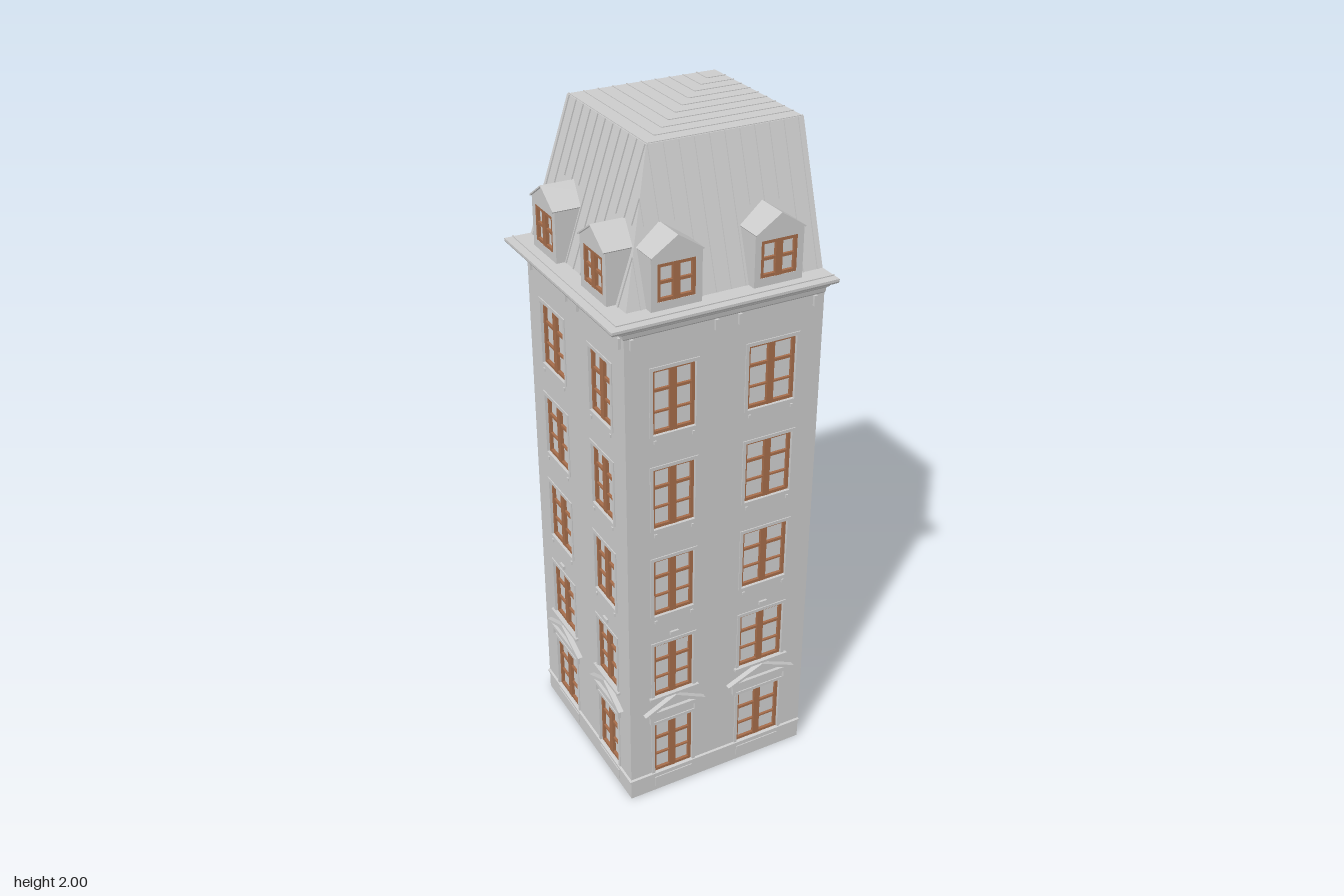
import * as THREE from 'three';

const mat = (name, color) => {
  const m = new THREE.MeshStandardMaterial({ color, side: THREE.DoubleSide });
  m.name = name;
  return m;
};

const OUT = 0.265, IN = 0.24, END = 0.33;          // wall faces and open ends
const ROOF_Y = 1.625, TOP_Y = 1.998, EAVE = 0.25, RIDGE = 0.125;
const RISE = TOP_Y - ROOF_Y, RUN = EAVE - RIDGE;
const SLOPE = Math.hypot(RISE, RUN), TILT = Math.atan2(RUN, RISE);
const COLUMNS = [{ u: -0.121, w: 0.128, ped: 0.19 }, { u: 0.176, w: 0.148, ped: 0.22 }];
const FLOORS = [0, 1, 2, 3, 4].map(i => 0.072 + i * 0.2975);
const WIN_H = 0.192;

const poly = pts => new THREE.Shape(pts.map(p => new THREE.Vector2(p[0], p[1])));
const rect = (x0, y0, x1, y1) => poly([[x0, y0], [x1, y0], [x1, y1], [x0, y1]]);

export function createModel() {
  const model = new THREE.Group();
  const stone = mat('pale stone', 0xcbcbcb);
  const metal = mat('roof metal', 0xcbcbcb);
  const wood = mat('window wood', 0xa56c4a);
  const glass = mat('window glass', 0xcfcfcf);
  const cloth = mat('curtain cloth', 0xcdcdcd);

  const add = (parent, name, geo, material, x = 0, y = 0, z = 0) => {
    const m = new THREE.Mesh(geo, material);
    m.name = name;
    m.position.set(x, y, z);
    parent.add(m);
    return m;
  };
  const box = (parent, name, material, w, h, d, x, y, z) =>
    add(parent, name, new THREE.BoxGeometry(w, h, d), material, x, y, z);
  const extrude = (shape, depth) => new THREE.ExtrudeGeometry(shape, { depth, bevelEnabled: false });

  // Moulding swept along both facades with a mitred corner; profile is [outward, y]
  const moulding = (name, profile) => {
    const pos = [], index = [];
    for (const [o, y] of profile) pos.push(END, y, o, -o, y, o, -o, y, -END);
    for (let i = 0; i < profile.length - 1; i++) for (let j = 0; j < 2; j++) {
      const a = i * 3 + j, b = a + 3;
      index.push(a, a + 1, b, a + 1, b + 1, b);
    }
    const indexed = new THREE.BufferGeometry();
    indexed.setAttribute('position', new THREE.Float32BufferAttribute(pos, 3));
    indexed.setIndex(index.reverse());
    const g = indexed.toNonIndexed();
    g.computeVertexNormals();
    add(model, name, g, stone);
  };

  // Window: frame, meeting stile, transom, thin bars and glass
  const windowUnit = (parent, u, y0, w, h, z, rows) => {
    const g = new THREE.Group();
    g.name = 'window';
    g.position.set(u, y0, z);
    parent.add(g);
    const t = 0.009;
    for (const s of [-1, 1]) {
      box(g, 'frameSide', wood, t, h, 0.012, s * (w - t) / 2, h / 2, 0);
      box(g, 'frameEnd', wood, w, t, 0.012, 0, h / 2 + s * (h - t) / 2, 0);
    }
    box(g, 'meetingStile', wood, 0.02, h, 0.014, 0, h / 2, 0);
    for (let r = 1; r < rows; r++)
      box(g, 'bar', wood, w, r === rows - 1 ? 0.008 : 0.005, 0.009, 0, h * r / rows, 0);
    add(g, 'pane', new THREE.PlaneGeometry(w, h), glass, 0, h / 2, -0.003);
  };

  // Wavy hanging drape, drawn away from the centre toward the bottom
  const drape = (parent, u, y0, side) => {
    const geo = new THREE.PlaneGeometry(1, 0.23, 20, 3);
    const p = geo.attributes.position;
    for (let i = 0; i < p.count; i++) {
      const f = p.getX(i) + 0.5, v = 0.5 - p.getY(i) / 0.23;
      const inner = 0.01 + 0.028 * v, outer = 0.088 + 0.008 * v;
      p.setX(i, side * (inner + (outer - inner) * f));
      p.setZ(i, 0.009 * Math.sin(f * 30 + v * 2));
    }
    if (side < 0) geo.index.array.reverse();
    geo.computeVertexNormals();
    add(parent, 'curtain', geo, cloth, u, y0 + 0.115, IN - 0.014);
  };

  // Triangular hood with a raised frame
  const pediment = (parent, u, w) => {
    const h = w / 2, y = 0.316, peak = 0.362;
    add(parent, 'pedimentField', extrude(poly([[-h, y], [h, y], [0, peak]]), 0.006), stone, u, 0, OUT);
    const rake = poly([[-h - 0.006, y], [h + 0.006, y], [0, peak + 0.004]]);
    rake.holes.push(poly([[-h + 0.028, y + 0.006], [0, peak - 0.008], [h - 0.028, y + 0.006]]));
    add(parent, 'pedimentFrame', extrude(rake, 0.016), stone, u, 0, OUT);
    box(parent, 'pedimentBase', stone, w - 0.02, 0.012, 0.012, u, 0.309, OUT + 0.006);
    for (const s of [-1, 1])
      box(parent, 'pedimentBracket', stone, 0.012, 0.03, 0.01, u + s * (h - 0.02), 0.29, OUT + 0.004);
  };

  // Gabled dormer, open at the back
  const dormer = (parent, u) => {
    const g = new THREE.Group();
    g.name = 'dormer';
    g.position.x = u;
    parent.add(g);
    const h = 0.0725, eave = 1.772, peak = 1.82, front = 0.276, back = 0.05, depth = front - back;
    const face = poly([[-h, ROOF_Y], [h, ROOF_Y], [h, eave], [0, peak - 0.004], [-h, eave]]);
    face.holes.push(rect(-0.054, 1.648, 0.054, 1.75));
    add(g, 'dormerFront', extrude(face, 0.014), stone, 0, 0, front - 0.014);
    windowUnit(g, 0, 1.648, 0.108, 0.102, front - 0.007, 2);
    const mid = (front + back) / 2;
    for (const k of [-1, 1]) {
      box(g, 'dormerCheek', stone, 0.004, eave - ROOF_Y, depth - 0.014, k * (h - 0.002), (eave + ROOF_Y) / 2, mid - 0.007);
      const slab = box(g, 'dormerRoof', metal, Math.hypot(h, peak - eave) + 0.002, 0.004, depth + 0.006,
        k * h / 2, (peak + eave) / 2 - 0.002, mid + 0.003);
      slab.rotation.z = -k * Math.atan2(peak - eave, h);
    }
    box(g, 'dormerFloor', stone, h * 2, 0.003, depth, 0, ROOF_Y + 0.002, mid);
  };

  // One street side; s mirrors positions along the wall
  const facade = (name, s) => {
    const g = new THREE.Group();
    g.name = name;
    model.add(g);
    const a = Math.min(-s * OUT, s * END), b = Math.max(-s * OUT, s * END);

    // Wall with window openings
    const wall = rect(a, 0, b, 1.6);
    for (const c of COLUMNS) for (const y of FLOORS)
      wall.holes.push(rect(s * c.u - c.w / 2, y, s * c.u + c.w / 2, y + WIN_H));
    add(g, 'wall', extrude(wall, OUT - IN), stone, 0, 0, IN);

    for (const c of COLUMNS) {
      const u = s * c.u;
      FLOORS.forEach((y, i) => {
        windowUnit(g, u, y, c.w, WIN_H, OUT - 0.012, 3);
        // Raised surround
        const trim = rect(u - c.w / 2 - 0.01, y - 0.004, u + c.w / 2 + 0.01, y + WIN_H + 0.01);
        trim.holes.push(rect(u - c.w / 2, y, u + c.w / 2, y + WIN_H));
        add(g, 'windowSurround', extrude(trim, 0.003), stone, 0, 0, OUT);
        for (const k of [-1, 1]) {
          if (i > 1) box(g, 'sillBlock', stone, 0.008, 0.01, 0.004, u + k * c.w * 0.45, y - 0.02, OUT + 0.002);
          drape(g, s * (c.u < 0 ? -0.14 : 0.175), y - 0.012, k);
        }
      });
      pediment(g, u, c.ped);
      box(g, 'sill', stone, c.w + 0.034, 0.008, 0.01, u, 0.368, OUT + 0.005);
      box(g, 'keystone', stone, 0.026, 0.012, 0.007, u, 0.592, OUT + 0.0035);
      box(g, 'plinthPanel', stone, c.w, 0.035, 0.003, u, 0.034, OUT + 0.0015);
      dormer(g, u);
    }
    for (const u of [-0.245, 0, 0.07, 0.3])
      box(g, 'corniceBracket', stone, 0.01, 0.03, 0.008, s * u, 1.545, OUT + 0.004);

    // Steep roof plane with dormer openings
    const roof = new THREE.Group();
    roof.name = 'steepRoof';
    roof.position.set(0, ROOF_Y, EAVE);
    roof.rotation.x = -TILT;
    g.add(roof);
    const plane = poly([[-s * EAVE, 0], [s * END, 0], [s * END, SLOPE], [-s * RIDGE, SLOPE]]);
    const up = SLOPE / RISE, h = 0.069;
    for (const c of COLUMNS) {
      const u = s * c.u;
      plane.holes.push(poly([[u - h, 0.004], [u + h, 0.004], [u + h, 0.145 * up], [u, 0.189 * up], [u - h, 0.145 * up]]));
    }
    add(roof, 'roofPlane', new THREE.ShapeGeometry(plane), metal);

    // Standing seams, cut by the hip and the dormers
    for (let u = -0.208; u < END; u += 0.0435) {
      const end = Math.min(1, (u + EAVE) / RUN) * SLOPE;
      const start = COLUMNS.some(c => Math.abs(u - c.u) < 0.076) ? 0.2 : 0;
      if (end - start > 0.02)
        box(roof, 'seam', metal, 0.004, end - start, 0.004, s * u, (start + end) / 2, 0.002);
    }
    return g;
  };

  facade('frontFacade', 1);
  facade('sideFacade', -1).rotation.y = -Math.PI / 2;

  // Running mouldings
  moulding('plinthBand', [[OUT, 0.064], [0.271, 0.066], [0.271, 0.072], [OUT, 0.075]]);
  moulding('cornice', [[OUT, 1.56], [0.27, 1.565], [0.273, 1.578], [0.288, 1.588], [0.292, 1.598],
    [0.305, 1.6], [0.308, 1.608], [0.326, 1.612], [0.33, 1.618], [0.33, ROOF_Y], [0.2, ROOF_Y]]);
  moulding('gutterLip', [[0.306, ROOF_Y], [0.306, 1.628], [0.302, 1.628], [0.302, ROOF_Y]]);

  // Flat roof top with nested seams
  const size = END + RIDGE, mid = (END - RIDGE) / 2;
  box(model, 'flatRoof', metal, size, 0.004, size, mid, TOP_Y - 0.002, -mid);
  for (let o = RIDGE - 0.005; o > -END + 0.03; o -= 0.0435) {
    const len = END + o;
    box(model, 'topSeam', metal, len, 0.002, 0.004, (END - o) / 2, 1.999, o);
    box(model, 'topSeam', metal, 0.004, 0.002, len, -o, 1.999, (o - END) / 2);
  }
  return model;
}
